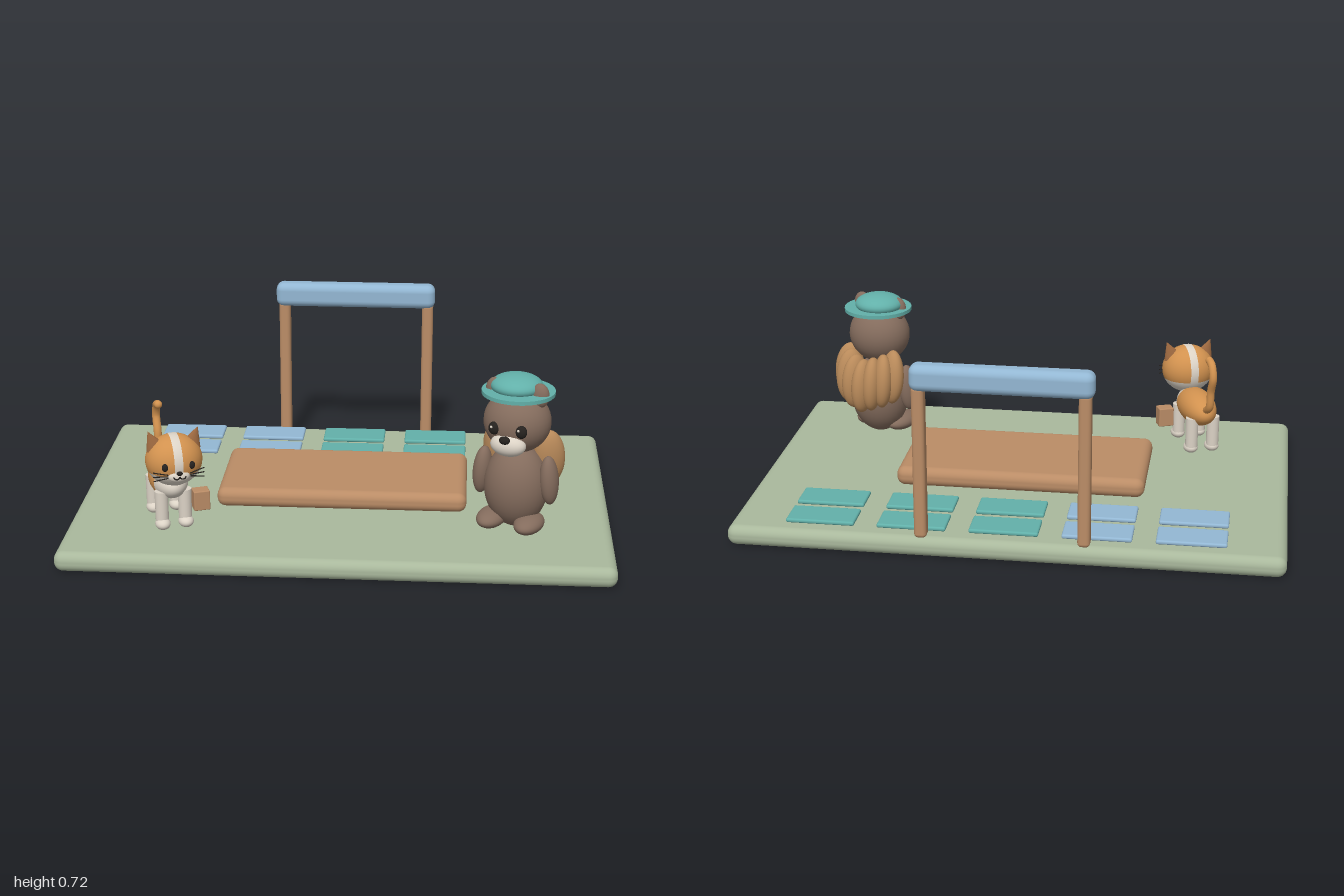
import * as THREE from 'three';
import { RoundedBoxGeometry } from 'three/addons/geometries/RoundedBoxGeometry.js';

const material = (name, color, side = THREE.FrontSide) => {
  const m = new THREE.MeshStandardMaterial({ color, side });
  m.name = name;
  return m;
};

export function createModel() {
  const sage = material('sage green', 0xa9b89c);
  const wood = material('wood', 0xba8c66);
  const blue = material('soft blue', 0x93b7d3);
  const teal = material('teal', 0x62b0a9);
  const fur = material('brown fur', 0x846c5d);
  const tan = material('tail tan', 0xb98a5a);
  const orange = material('orange fur', 0xd2924f);
  const cream = material('cream', 0xdcd3c6, THREE.DoubleSide);
  const black = material('black', 0x26221f);
  const earBrown = material('ear brown', 0x9c683f);

  const model = new THREE.Group();
  model.name = 'courtyardScene';

  const add = (parent, name, geometry, mat, pos, scale = [1, 1, 1], rot = [0, 0, 0]) => {
    const mesh = new THREE.Mesh(geometry, mat);
    mesh.name = name;
    mesh.position.set(...pos);
    mesh.scale.set(...scale);
    mesh.rotation.set(...rot);
    parent.add(mesh);
    return mesh;
  };
  const ball = new THREE.SphereGeometry(1, 32, 20);
  const blob = (parent, name, mat, pos, radii, rot) => add(parent, name, ball, mat, pos, radii, rot);
  const block = (parent, name, mat, size, r, pos, rot) =>
    add(parent, name, new RoundedBoxGeometry(...size, 4, r), mat, pos, [1, 1, 1], rot);
  const group = (name, x, z, yaw) => {
    const g = new THREE.Group();
    g.name = name;
    g.position.set(x, 0, z);
    g.rotation.y = yaw;
    model.add(g);
    return g;
  };

  // Ground slab and low platform
  block(model, 'groundSlab', sage, [2, 0.076, 1.33], 0.034, [0, 0.038, 0]);
  block(model, 'platform', wood, [0.935, 0.074, 0.455], 0.032, [-0.002, 0.118, -0.002]);

  // Two rows of paving tiles
  for (let i = 0; i < 5; i++) {
    for (const z of [-0.545, -0.38]) {
      block(model, 'pavingTile', i < 2 ? blue : teal, [0.25, 0.016, 0.125], 0.007,
        [(i - 2) * 0.333, 0.089, z]);
    }
  }

  // Gate
  for (const s of [-1, 1]) {
    block(model, 'gatePost', wood, [0.045, 0.57, 0.055], 0.015, [s * 0.291, 0.355, -0.625]);
  }
  block(model, 'gateBeam', blue, [0.645, 0.097, 0.08], 0.03, [-0.002, 0.672, -0.624]);

  // ---------- Bear ----------
  const bear = group('bear', 0.645, 0.315, -0.37);
  blob(bear, 'bearBody', fur, [0, 0.25, 0.005], [0.118, 0.158, 0.11]);
  blob(bear, 'bearHead', fur, [0, 0.5, 0.015], [0.123, 0.115, 0.112]);
  blob(bear, 'bearMuzzle', cream, [0, 0.438, 0.106], [0.066, 0.042, 0.042]);
  blob(bear, 'bearNose', black, [0, 0.468, 0.145], [0.02, 0.015, 0.014]);
  for (const s of [-1, 1]) {
    blob(bear, 'bearArm', fur, [s * 0.128, 0.29, 0.015], [0.034, 0.092, 0.042], [0, 0, s * 0.08]);
    blob(bear, 'bearFoot', fur, [s * 0.072, 0.128, 0.055], [0.052, 0.034, 0.083]);
    blob(bear, 'bearEar', fur, [s * 0.085, 0.61, 0.025], [0.034, 0.045, 0.024]);
    blob(bear, 'bearEye', black, [s * 0.051, 0.497, 0.115], [0.021, 0.024, 0.016]);
    blob(bear, 'bearEyeGlint', cream, [s * 0.051 - 0.006, 0.505, 0.13], [0.005, 0.005, 0.003]);
  }

  // Fan of rounded tail lobes wrapping the back
  for (let i = -3; i <= 3; i++) {
    const a = i * 0.36;
    const y = 0.315 + Math.abs(i) * 0.012;
    blob(bear, 'tailLobe', tan, [Math.sin(a) * 0.115, y, -Math.cos(a) * 0.115],
      [0.04, 0.108, 0.058], [0.12, -a, 0]);
  }

  // Hat
  add(bear, 'hatBrim', new THREE.CylinderGeometry(0.132, 0.132, 0.014, 40), teal, [-0.003, 0.607, 0.005]);
  blob(bear, 'hatCrown', teal, [-0.012, 0.628, 0], [0.095, 0.042, 0.092]);

  // ---------- Cat ----------
  const cat = group('cat', -0.63, 0.34, 0.37);

  // Body: orange rear, cream chest, split across the body's length
  const split = 0.36 * Math.PI;
  const chest = new THREE.SphereGeometry(1, 32, 12, 0, Math.PI * 2, 0, split).rotateX(Math.PI / 2);
  const rear = new THREE.SphereGeometry(1, 32, 16, 0, Math.PI * 2, split, Math.PI - split).rotateX(Math.PI / 2);
  const bodyRadii = [0.07, 0.066, 0.135];
  add(cat, 'catChest', chest, cream, [0, 0.25, 0], bodyRadii);
  add(cat, 'catBack', rear, orange, [0, 0.25, 0], bodyRadii);
  for (const s of [-1, 1]) {
    for (const z of [0.085, -0.08]) {
      add(cat, 'catLeg', new THREE.CylinderGeometry(0.025, 0.024, 0.13, 20), cream, [s * 0.043, 0.168, z]);
      blob(cat, 'catPaw', cream, [s * 0.043, 0.108, z + 0.008], [0.028, 0.022, 0.034]);
    }
  }

  // Tail
  const tailPath = new THREE.CatmullRomCurve3([
    [0, 0.27, -0.11], [0, 0.3, -0.155], [0, 0.37, -0.165], [0, 0.43, -0.185], [0, 0.475, -0.165], [0, 0.485, -0.135],
  ].map(p => new THREE.Vector3(...p)));
  add(cat, 'catTail', new THREE.TubeGeometry(tailPath, 30, 0.015, 12), orange, [0, 0, 0]);
  blob(cat, 'catTailTip', orange, [0, 0.485, -0.135], [0.015, 0.015, 0.015]);

  // Head: orange cap, cream jaw and a blaze from brow to nape
  const head = new THREE.Group();
  head.name = 'catHead';
  head.position.set(0, 0.367, 0.122);
  cat.add(head);
  const radii = [0.103, 0.095, 0.093];
  const jaw = 0.62 * Math.PI;
  add(head, 'catHeadCap', new THREE.SphereGeometry(1, 36, 20, 0, Math.PI * 2, 0, jaw), orange, [0, 0, 0], radii);
  add(head, 'catJaw', new THREE.SphereGeometry(1, 36, 10, 0, Math.PI * 2, jaw, Math.PI - jaw), cream, [0, 0, 0], radii);
  const blaze = new THREE.SphereGeometry(1.012, 48, 4, 0, Math.PI * 2, Math.PI / 2 - 0.15, 0.3).rotateZ(Math.PI / 2);
  add(head, 'catBlaze', blaze, cream, [0, 0, 0], radii);
  blob(head, 'catMuzzle', cream, [0, -0.036, 0.078], [0.04, 0.023, 0.022]);
  blob(head, 'catNose', black, [0, -0.019, 0.098], [0.011, 0.008, 0.007]);
  for (const s of [-1, 1]) {
    add(head, 'catEar', new THREE.ConeGeometry(0.036, 0.07, 24), earBrown, [s * 0.078, 0.083, 0],
      [1, 1, 0.6], [0, 0, -s * 0.38]);
    blob(head, 'catEye', black, [s * 0.048, 0.002, 0.08], [0.012, 0.015, 0.009]);
    add(head, 'catMouth', new THREE.TorusGeometry(0.011, 0.0025, 6, 14, Math.PI), black,
      [s * 0.011, -0.029, 0.1], [1, 1, 1], [0, 0, Math.PI]);
    // Whiskers
    for (let i = -1; i <= 1; i++) {
      add(head, 'whisker', new THREE.CylinderGeometry(0.002, 0.002, 0.055, 6), black,
        [s * 0.066, -0.028 + i * 0.011, 0.088], [1, 1, 1], [0, s * 0.2, Math.PI / 2 + s * i * 0.2]);
    }
  }

  // Small wooden box carried at the cat's side
  block(cat, 'carriedBox', wood, [0.06, 0.075, 0.05], 0.004, [0.102, 0.185, 0.086]);

  return model;
}
